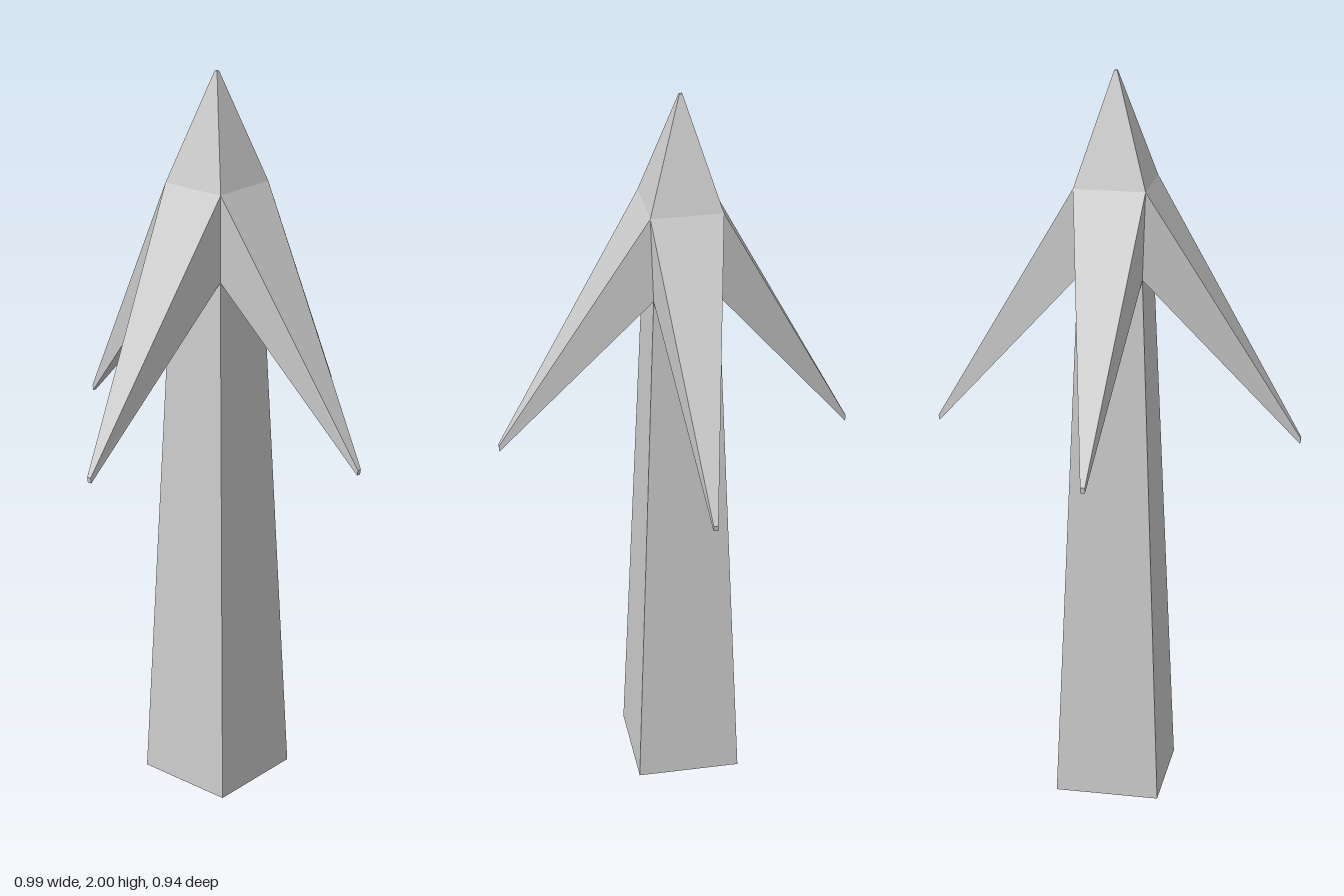
import * as THREE from 'three';

const material = new THREE.MeshStandardMaterial({ color: 0xcccccc, flatShading: true });

// Joins four-cornered rings (counter-clockwise seen from the end) with quads and optional caps.
function loft(name, rings, capStart, capEnd) {
  const pos = [];
  const quad = (a, b, c, d) => pos.push(...a, ...b, ...c, ...a, ...c, ...d);
  for (let r = 0; r < rings.length - 1; r++) {
    const a = rings[r], b = rings[r + 1];
    for (let i = 0; i < 4; i++) {
      const j = (i + 1) % 4;
      quad(a[i], a[j], b[j], b[i]);
    }
  }
  if (capStart) quad(...[...rings[0]].reverse());
  if (capEnd) quad(...rings[rings.length - 1]);
  const geometry = new THREE.BufferGeometry();
  geometry.setAttribute('position', new THREE.Float32BufferAttribute(pos, 3));
  geometry.computeVertexNormals();
  const mesh = new THREE.Mesh(geometry, material);
  mesh.name = name;
  return mesh;
}

// Horizontal square of half width h at height y
const square = (y, h) => [[h, y, h], [h, y, -h], [-h, y, -h], [-h, y, h]];

const NECK = { y: 1.475, h: 0.085 };
const SHOULDER = { y: 1.71, h: 0.094 };

// Swept-back barb pointing to +z, open where it meets the core
function barb(name, reach, shift) {
  const w = 0.006;
  const root = [
    [-NECK.h, NECK.y, NECK.h], [NECK.h, NECK.y, NECK.h],
    [SHOULDER.h, SHOULDER.y, SHOULDER.h], [-SHOULDER.h, SHOULDER.y, SHOULDER.h],
  ];
  const tip = [
    [shift - w, 1.025, reach - 0.002], [shift + w, 1.025, reach - 0.002],
    [shift + w, 1.04, reach], [shift - w, 1.04, reach],
  ];
  return loft(name, [root, tip], false, true);
}

export function createModel() {
  const model = new THREE.Group();
  model.name = 'barbedSpike';

  // Tapering shaft and pyramid point
  model.add(loft('shaft', [square(0, 0.142), square(NECK.y, NECK.h)], true, false));
  model.add(loft('point', [square(SHOULDER.y, SHOULDER.h), square(2, 0.004)], false, true));

  // Four barbs, with slightly uneven reach
  const barbs = [
    ['frontBarb', 0.488, -0.008],
    ['leftBarb', 0.489, 0],
    ['backBarb', 0.456, 0.001],
    ['rightBarb', 0.497, 0],
  ];
  barbs.forEach(([name, reach, shift], i) => {
    const mesh = barb(name, reach, shift);
    mesh.rotation.y = i * Math.PI / 2;
    model.add(mesh);
  });

  // The shaft axis sits slightly off centre
  model.children.forEach((part) => part.position.set(0.004, 0, -0.016));
  return model;
}
